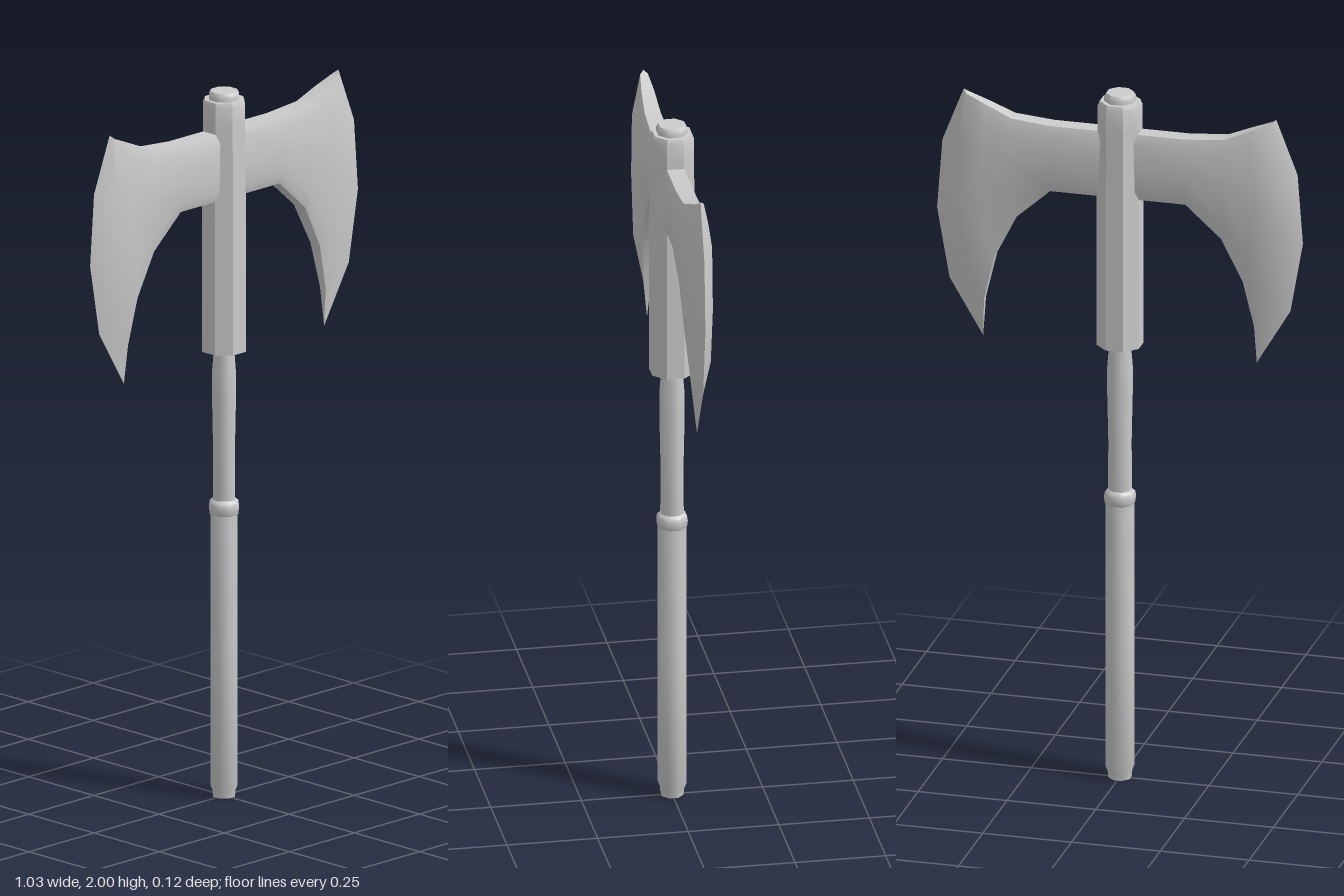
import * as THREE from 'three';
import { toCreasedNormals } from 'three/addons/utils/BufferGeometryUtils.js';

const material = new THREE.MeshStandardMaterial({ color: 0xcccccc });

// Eight-sided turned part with a flat side facing the front; profile is [radius, y] from the bottom up
function turned(name, profile, crease) {
  const points = profile.map(([r, y]) => new THREE.Vector2(r, y));
  const geometry = new THREE.LatheGeometry(points, 8, Math.PI / 8);
  const mesh = new THREE.Mesh(toCreasedNormals(geometry, crease), material);
  mesh.name = name;
  return mesh;
}

// Blade cross-sections from the socket out to the cutting edge:
// outline points from top to bottom, half thickness inside and at the rims
const sections = [
  { pts: [[0, 1.89], [0, 1.865], [0, 1.795], [0, 1.725], [0, 1.7]], mid: 0.033, rim: 0.024 },
  { pts: [[0.19, 1.89], [0.19, 1.865], [0.19, 1.795], [0.19, 1.725], [0.19, 1.7]], mid: 0.033, rim: 0.024 },
  { pts: [[0.3, 1.9], [0.3, 1.865], [0.3, 1.77], [0.295, 1.66], [0.29, 1.61]], mid: 0.033, rim: 0.022 },
  { pts: [[0.37, 1.93], [0.375, 1.87], [0.385, 1.72], [0.37, 1.56], [0.35, 1.49]], mid: 0.033, rim: 0.018 },
  { pts: [[0.43, 1.955], [0.445, 1.83], [0.457, 1.65], [0.425, 1.48], [0.38, 1.36]], mid: 0.031, rim: 0.011 },
  { pts: [[0.44, 1.965], [0.5, 1.81], [0.515, 1.61], [0.48, 1.41], [0.385, 1.25]], mid: 0, rim: 0 },
];

function bladeGeometry() {
  const positions = [];
  const index = [];
  const ring = 10;
  for (const { pts, mid, rim } of sections) {
    const depth = (j) => (j === 0 || j === 4 ? rim : mid);
    for (let j = 0; j < 5; j++) positions.push(...pts[j], depth(j));
    for (let j = 4; j >= 0; j--) positions.push(...pts[j], -depth(j));
  }
  for (let s = 0; s < sections.length - 1; s++) {
    for (let j = 0; j < ring; j++) {
      const a = s * ring + j;
      const b = s * ring + ((j + 1) % ring);
      index.push(a, b, b + ring, a, b + ring, a + ring);
    }
  }
  const geometry = new THREE.BufferGeometry();
  geometry.setAttribute('position', new THREE.Float32BufferAttribute(positions, 3));
  geometry.setIndex(index);
  return toCreasedNormals(geometry, 0.8);
}

export function createModel() {
  const model = new THREE.Group();
  model.name = 'doubleAxe';

  // Shaft: lower grip with a bevelled foot, slimmer upper part
  model.add(turned('lowerGrip', [
    [0, 0], [0.032, 0], [0.034, 0.02], [0.04, 0.035], [0.04, 0.4], [0.04, 0.81], [0, 0.81],
  ], 0.9));
  model.add(turned('upperShaft', [
    [0.033, 0.8], [0.032, 0.98], [0.035, 1.12], [0.035, 1.2], [0.031, 1.25], [0.031, 1.3],
  ], 0.9));

  // Rounded ring between the two shaft parts
  model.add(turned('gripRing', [
    [0.034, 0.795], [0.042, 0.803], [0.044, 0.82], [0.042, 0.834], [0.033, 0.842],
  ], 0.9));

  // Socket holding the blades, and the end of the shaft above it
  model.add(turned('socket', [
    [0, 1.265], [0.064, 1.265], [0.064, 1.7], [0.061, 1.9], [0.061, 1.965], [0.056, 1.977], [0, 1.977],
  ], 0.6));
  model.add(turned('topCap', [
    [0.044, 1.97], [0.044, 1.99], [0.038, 2], [0, 2],
  ], 0.9));

  // Twin blades, the second turned half round
  const blade = bladeGeometry();
  ['leftBlade', 'rightBlade'].forEach((name, i) => {
    const mesh = new THREE.Mesh(blade, material);
    mesh.name = name;
    mesh.rotation.y = i * Math.PI;
    model.add(mesh);
  });

  return model;
}
